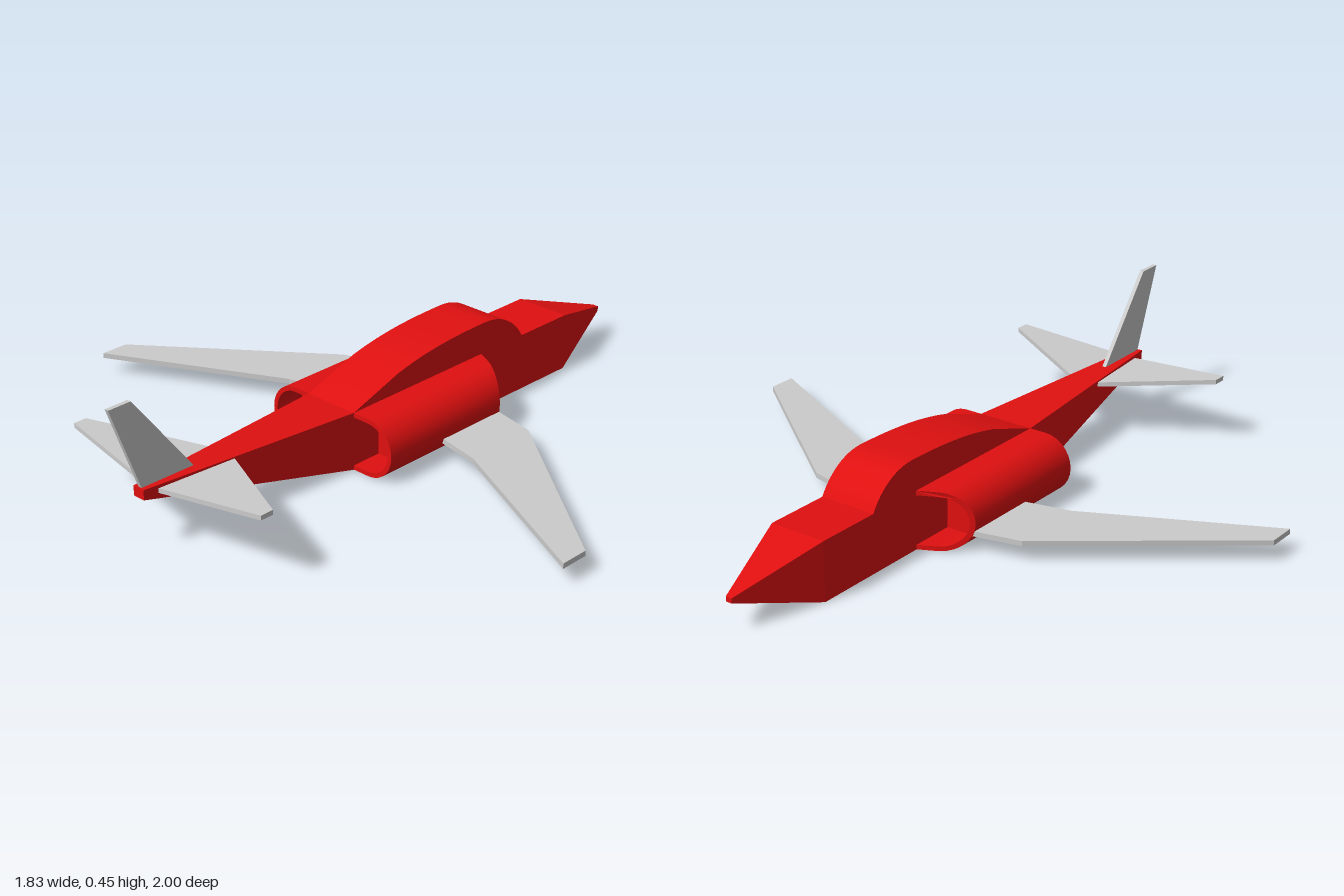
import * as THREE from 'three';
import { toCreasedNormals } from 'three/addons/utils/BufferGeometryUtils.js';

const red = new THREE.MeshStandardMaterial({ color: 0xe01010 });
const grey = new THREE.MeshStandardMaterial({ color: 0xcccccc });

// Centred extrusion of an outline, curved sides smoothed, edges kept sharp
function slab(points, depth) {
  const shape = new THREE.Shape(points.map(([x, y]) => new THREE.Vector2(x, y)));
  return new THREE.ExtrudeGeometry(shape, { depth, bevelEnabled: false, curveSegments: 1 })
    .translate(0, 0, -depth / 2);
}

// Skin over rectangular sections [z, halfWidth, bottom, top], running towards +z
function loftBoxes(sections) {
  const corners = sections.map(([z, w, b, t]) => [[-w, b, z], [w, b, z], [w, t, z], [-w, t, z]]);
  const pos = [];
  const quad = (a, b, c, d) => pos.push(...a, ...b, ...c, ...a, ...c, ...d);
  for (let i = 0; i < corners.length - 1; i++) {
    for (let k = 0; k < 4; k++) {
      const n = (k + 1) % 4;
      quad(corners[i][k], corners[i][n], corners[i + 1][n], corners[i + 1][k]);
    }
  }
  quad(...[...corners[0]].reverse());
  quad(...corners[corners.length - 1]);
  const geo = new THREE.BufferGeometry();
  geo.setAttribute('position', new THREE.Float32BufferAttribute(pos, 3));
  geo.computeVertexNormals();
  return geo;
}

// D-shaped outline of a side pod, shrunk by an inset
function podOutline(side, inset) {
  const r = 0.09 - inset;
  const pts = [[side * 0.08, 0.09 - r]];
  for (let i = 0; i <= 14; i++) {
    const a = -Math.PI / 2 + (Math.PI * i) / 14;
    pts.push([side * (0.145 + r * Math.cos(a)), 0.09 + r * Math.sin(a)]);
  }
  pts.push([side * 0.08, 0.09 + r]);
  return pts;
}

export function createModel() {
  const model = new THREE.Group();
  const add = (name, geo, material) => {
    const mesh = new THREE.Mesh(geo, material);
    mesh.name = name;
    model.add(mesh);
    return mesh;
  };

  // Fuselage with tapered nose (-z) and tail (+z)
  add('fuselage', loftBoxes([
    [-1, 0.01, 0.085, 0.1],
    [-0.73, 0.09, 0, 0.18],
    [0.2, 0.09, 0, 0.18],
    [0.91, 0.02, 0.158, 0.188],
  ]), red);

  // Canopy hump, outlined in z and y
  const hump = new THREE.Path()
    .moveTo(0.2, 0.178)
    .lineTo(0.2, 0.18)
    .lineTo(0.02, 0.24)
    .bezierCurveTo(-0.1, 0.27, -0.22, 0.278, -0.36, 0.278)
    .bezierCurveTo(-0.43, 0.276, -0.49, 0.24, -0.525, 0.18)
    .lineTo(-0.525, 0.178);
  const humpPoints = hump.getPoints(12).map((p) => [p.x, p.y]);
  add('canopy', toCreasedNormals(slab(humpPoints, 0.18).rotateY(-Math.PI / 2), 0.5), red);

  for (const side of [1, -1]) {
    const label = side > 0 ? 'left' : 'right';
    const flat = (pts, thickness) =>
      slab(pts.map(([x, z]) => [side * x, z]), thickness).rotateX(Math.PI / 2);

    // Engine pod: thin shell with a swept intake lip
    const ring = [...podOutline(side, 0), ...podOutline(side, 0.014).reverse()];
    const shell = slab(ring, 0.54).translate(0, 0, -0.07);
    const p = shell.attributes.position;
    for (let i = 0; i < p.count; i++) {
      if (p.getZ(i) < 0) {
        p.setZ(i, -0.345 + Math.max(0, Math.abs(p.getX(i)) - 0.09) * 0.586);
      }
    }
    add(label + 'EnginePod', toCreasedNormals(shell, 0.5), red);

    // Solid core that closes the intake and exhaust recesses
    add(label + 'EngineCore', slab(podOutline(side, 0.013), 0.3).translate(0, 0, -0.05), red);

    // Cranked swept wing
    add(label + 'Wing', flat([
      [0.225, -0.262], [0.37, -0.23], [0.917, 0.19],
      [0.917, 0.28], [0.37, 0.01], [0.225, -0.022],
    ], 0.016).translate(0, 0.058, 0), grey);

    // Tailplane, raised towards the tip
    const tailplane = flat([[0, 0.59], [0.372, 0.78], [0.372, 0.822], [0, 0.866]], 0.014);
    const t = tailplane.attributes.position;
    for (let i = 0; i < t.count; i++) {
      t.setY(i, t.getY(i) + 0.168 + Math.abs(t.getX(i)) * 0.105);
    }
    tailplane.computeVertexNormals();
    add(label + 'Tailplane', tailplane, grey);
  }

  // Upright tail fin
  add('tailFin', slab([
    [0.715, 0.175], [0.9, 0.175], [1, 0.447], [0.925, 0.447],
  ], 0.013).rotateY(-Math.PI / 2), grey);

  return model;
}
